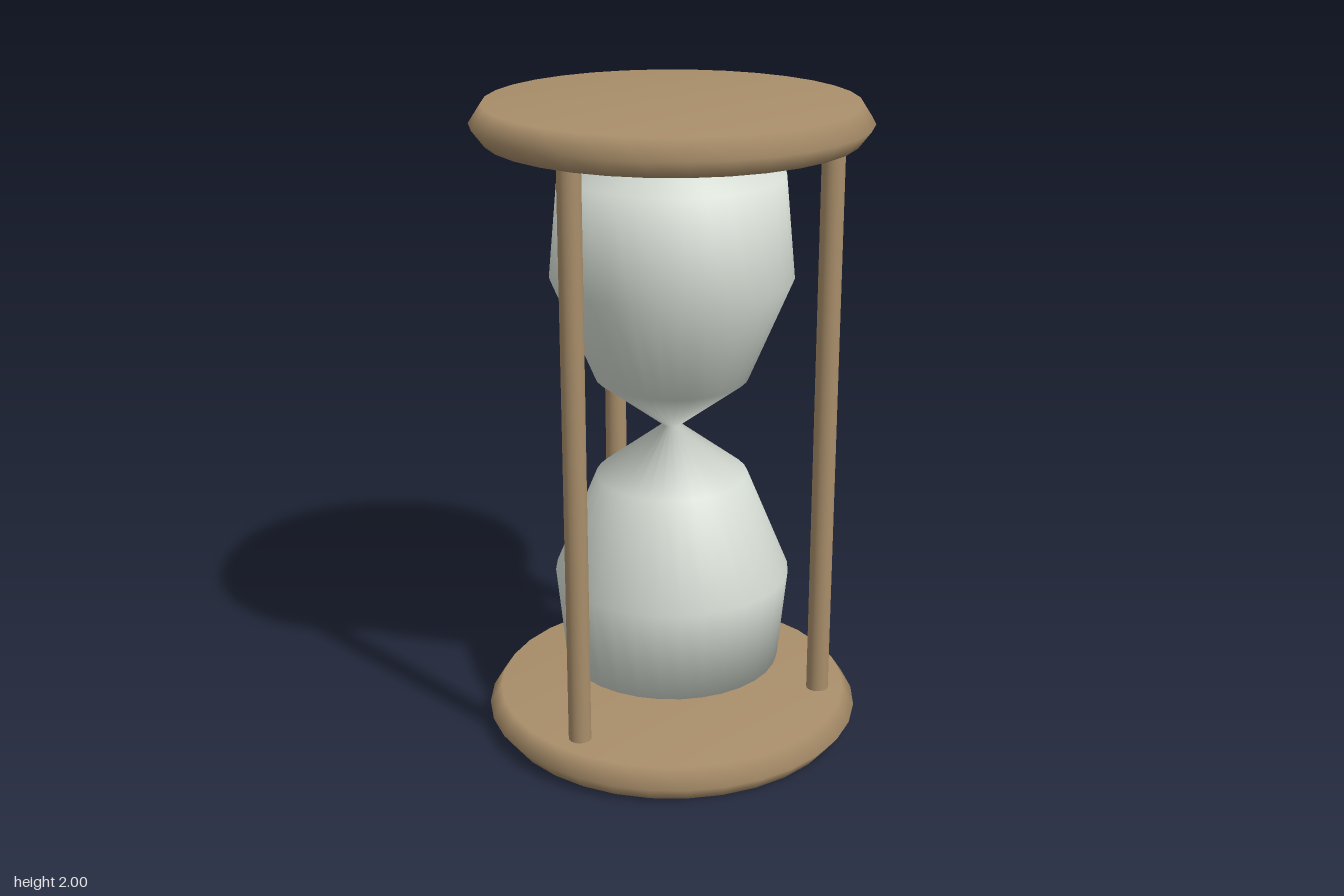
import * as THREE from 'three';

export function createModel() {
  const group = new THREE.Group();
  const wood = new THREE.MeshStandardMaterial({ color: 0xa98e6a });
  wood.name = 'wood';
  const glass = new THREE.MeshStandardMaterial({ color: 0xd5dcd3 });
  glass.name = 'glass';

  const add = (name, geometry, material, x = 0, y = 0, z = 0) => {
    const mesh = new THREE.Mesh(geometry, material);
    mesh.name = name;
    mesh.position.set(x, y, z);
    group.add(mesh);
  };
  const lathe = (profile) =>
    new THREE.LatheGeometry(profile.map(([r, y]) => new THREE.Vector2(r, y)), 32);

  // Round end plates with a pointed, softly shaded rim
  const plate = lathe([[0, 0], [0.555, 0], [0.593, 0.05], [0.555, 0.108], [0, 0.108]]);
  add('basePlate', plate, wood);
  add('topPlate', plate, wood, 0, 1.892, 0);

  // Two bulbs joined at a narrow neck
  add('glassBulbs', lathe([
    [0, 0.125], [0.34, 0.218], [0.37, 0.515], [0.237, 0.836],
    [0.028, 0.997],
    [0.237, 1.157], [0.37, 1.475], [0.34, 1.788], [0, 1.882],
  ]), glass);

  // Three posts evenly spaced around the bulbs
  const post = new THREE.CylinderGeometry(0.035, 0.035, 1.82, 20);
  for (let i = 0; i < 3; i++) {
    const a = (i * Math.PI * 2) / 3;
    add(`post${i + 1}`, post, wood, 0.474 * Math.cos(a), 1, 0.474 * Math.sin(a));
  }
  return group;
}
